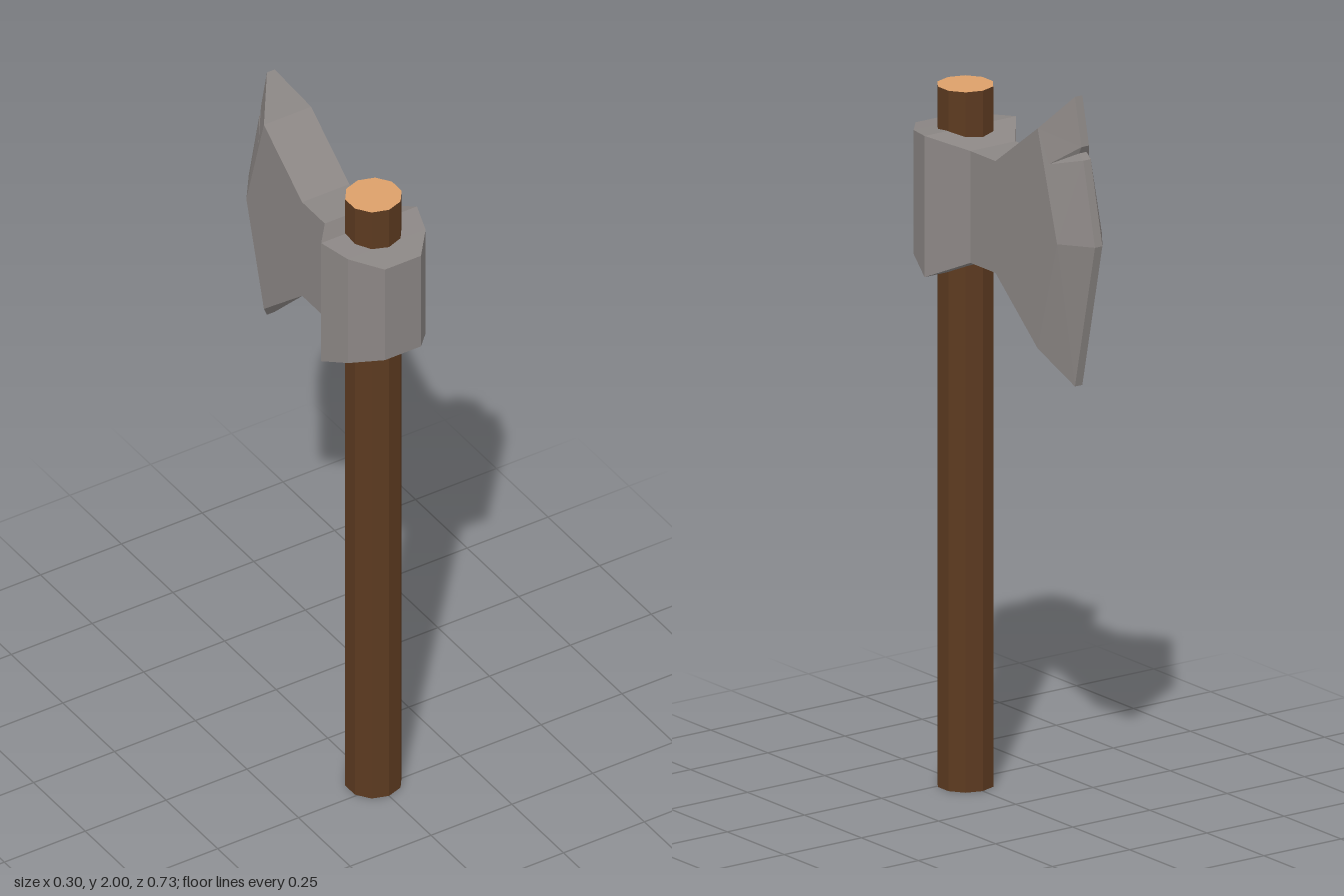
import * as THREE from 'three';

const mat = (color) => new THREE.MeshStandardMaterial({ color, flatShading: true });

// Faceted geometry from convex polygons, corners counter-clockwise from outside
function facets(polys) {
  const pos = [];
  for (const p of polys)
    for (let i = 1; i < p.length - 1; i++) pos.push(...p[0], ...p[i], ...p[i + 1]);
  const g = new THREE.BufferGeometry();
  g.setAttribute('position', new THREE.Float32BufferAttribute(pos, 3));
  g.computeVertexNormals();
  return g;
}

const flip = ([x, y, z]) => [-x, y, z];

function axeHeadGeometry() {
  const centre = []; // polygons spanning both sides
  const half = [];   // polygons of the +x side, mirrored below
  const across = (p, q) => centre.push([flip(p), p, q, flip(q)]);

  // Sections from poll to cheek: z, half width, bottom, top
  const sections = [
    [0.364, 0.056, 1.485, 1.78],
    [0.286, 0.12, 1.452, 1.79],
    [0.2, 0.148, 1.415, 1.8],
    [0.1, 0.073, 1.465, 1.77],
    [-0.01, 0.073, 1.465, 1.77],
    [-0.195, 0.073, 1.305, 1.905],
  ].map(([z, x, lo, hi]) => ({ lo: [x, lo, z], hi: [x, hi, z] }));

  across(sections[0].lo, sections[0].hi);
  for (let i = 0; i < sections.length - 1; i++) {
    const a = sections[i], b = sections[i + 1];
    across(a.hi, b.hi);
    across(b.lo, a.lo);
    if (i < 4) half.push([a.lo, b.lo, b.hi, a.hi]);
  }

  // Blade: cheek ridge and narrow cutting edge
  const neck = sections[4], { lo: ridgeLo, hi: ridgeHi } = sections[5];
  const ridge = [0.073, 1.61, -0.28];
  const tipHi = [0.012, 2, -0.276], tipLo = [0.012, 1.21, -0.276];
  const edge = [0.012, 1.61, -0.364];
  half.push([neck.lo, ridgeLo, ridge, ridgeHi, neck.hi]);
  half.push([ridge, ridgeLo, tipLo, edge]);
  across(ridgeHi, tipHi);
  across(tipLo, ridgeLo);

  // Upper bevel with a chipped notch
  const nHi = [0.012, 1.87, -0.305], nLo = [0.012, 1.835, -0.313];
  const nIn = [0.065, 1.815, -0.233], nDeep = [0.012, 1.85, -0.294];
  half.push(
    [ridgeHi, nHi, tipHi], [ridgeHi, nIn, nHi], [ridgeHi, ridge, nIn],
    [nIn, ridge, nLo], [ridge, edge, nLo],
    [nIn, nLo, nDeep], [nIn, nDeep, nHi],
  );
  const rim = [tipLo, edge, nLo, nDeep, nHi, tipHi];
  for (let i = 0; i < rim.length - 1; i++) across(rim[i + 1], rim[i]);

  const mirrored = half.map((p) => p.map(flip).reverse());
  return facets([...centre, ...half, ...mirrored]);
}

export function createModel() {
  const model = new THREE.Group();

  // Ten-sided wooden handle with pale cut ends
  const bark = mat(0x5c3a20), cutWood = mat(0xdca06a);
  const handle = new THREE.Mesh(
    new THREE.CylinderGeometry(0.076, 0.076, 1.91, 10), [bark, cutWood, cutWood]);
  handle.name = 'handle';
  handle.position.set(0, 0.955, 0.221);

  const head = new THREE.Mesh(axeHeadGeometry(), mat(0x8b8684));
  head.name = 'axeHead';

  model.add(handle, head);
  return model;
}
